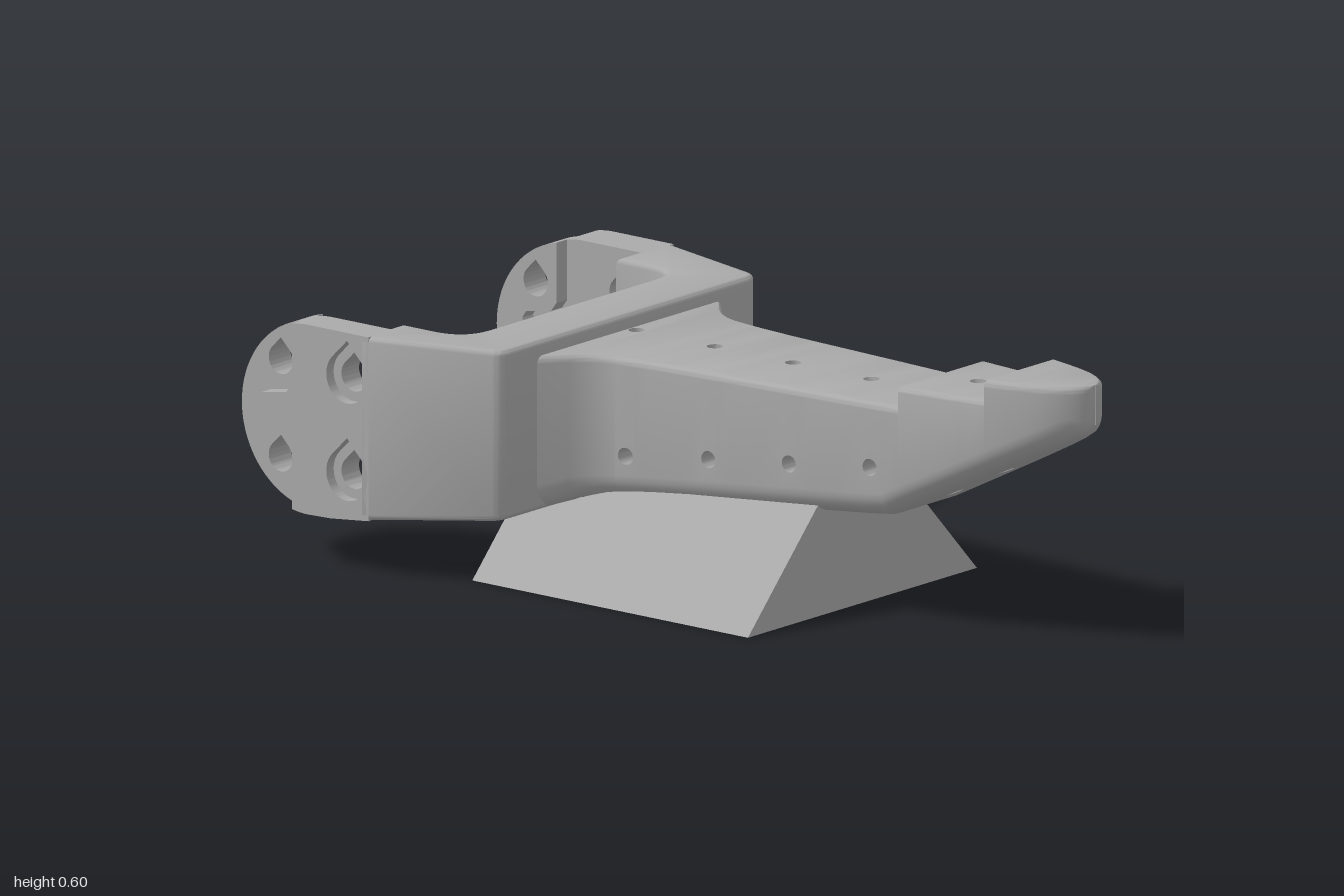
import * as THREE from 'three';
import { toCreasedNormals } from 'three/addons/utils/BufferGeometryUtils.js';

const grey = new THREE.MeshStandardMaterial({ color: 0xaaaaaa, side: THREE.DoubleSide });
grey.name = 'plain grey';

function part(name, geometry, crease = 0.6) {
  const mesh = new THREE.Mesh(toCreasedNormals(geometry, crease), grey);
  mesh.name = name;
  return mesh;
}

// Piecewise-linear lookup in [z, value] pairs sorted by descending z
function lookup(table, z) {
  let i = 0;
  while (i < table.length - 2 && z < table[i + 1][0]) i++;
  const [[z0, v0], [z1, v1]] = [table[i], table[i + 1]];
  return v0 + (v1 - v0) * (z - z0) / (z1 - z0);
}

// Tongue: half width and underside along z, and stepped top
const WIDTH = [[1, 0.001], [0.997, 0.02], [0.99, 0.034], [0.975, 0.053], [0.95, 0.072], [0.92, 0.088],
  [0.88, 0.102], [0.84, 0.113], [0.79, 0.125], [0.7, 0.138], [0.57, 0.152], [0.34, 0.168], [0, 0.19],
  [-0.1, 0.2], [-0.18, 0.212], [-0.21, 0.222], [-0.24, 0.239], [-0.265, 0.262], [-0.315, 0.32]];
const BOTTOM = [[1, 0.507], [0.985, 0.484], [0.95, 0.463], [0.525, 0.25], [0.465, 0.243], [-0.27, 0.178], [-0.32, 0.16]];
const topAt = z => z > 0.79 ? 0.597 : z > 0.57 ? 0.551 : 0.506;

// Small drillings: strip 0 = left side, 1 = top, 2 = right side, 3 = underside; at = [z, y or x]
const cross = [[0.495, 0.36], [0.28, 0.335], [0.065, 0.312], [-0.15, 0.288]]
  .map(at => ({ r: 0.019, ends: { 0: at, 2: at } }));
const upright = [[0.67, 0.75], [0.5, 0.605], [0.37, 0.49], [0.15], [-0.07], [-0.29]]
  .map(([t, b]) => ({ r: 0.018, ends: b === undefined ? { 1: [t, 0] } : { 1: [t, 0], 3: [b, 0] } }));

function tongueGeometry() {
  const pos = [], n = 6;
  const tri = (...p) => p.forEach(v => pos.push(v.x, v.y, v.z));
  const quad = (a, b, c, d) => { tri(a, b, c); tri(a, c, d); };

  // Rounded-rectangle cross-section
  const ring = (z, top) => {
    const w = lookup(WIDTH, z), bottom = lookup(BOTTOM, z);
    const rb = Math.min(0.055, w * 0.9), rt = Math.min(0.017, w * 0.9);
    const corners = [[w - rb, bottom + rb, rb], [w - rt, top - rt, rt], [rt - w, top - rt, rt], [rb - w, bottom + rb, rb]];
    return corners.flatMap(([x, y, r], k) => Array.from({ length: n + 1 }, (_, i) => {
      const a = (k - 1 + i / n) * Math.PI / 2;
      return new THREE.Vector3(x + r * Math.cos(a), y + r * Math.sin(a), z);
    }));
  };

  // Stations: profile points plus a short flat slab round every drilling
  const slabEdges = [0.525, 0.465];
  const holes = [...cross, ...upright];
  for (const h of holes) for (const [z] of Object.values(h.ends))
    if (z > 0.53 || z < 0.46) slabEdges.push(z + 0.025, z - 0.025);
  const stations = [...new Set([...WIDTH.map(p => p[0]), 0.985, ...slabEdges].map(z => +z.toFixed(3)))]
    .sort((a, b) => b - a);
  const rings = [];
  for (let i = 0; i + 1 < stations.length; i++) {
    const top = topAt((stations[i] + stations[i + 1]) / 2);
    rings.push(ring(stations[i], top), ring(stations[i + 1], top));
  }

  // Flat panel pierced by drillings
  const panel = (a, b, c, d, strip, list) => {
    const flat = p => new THREE.Vector2(-p.z, [p.y, -p.x, -p.y, p.x][strip]);
    const rims = list.map(h => {
      const [hz, hv] = h.ends[strip];
      const rim = Array.from({ length: 16 }, (_, i) => {
        const t = i / 16 * Math.PI * 2, z = hz + h.r * Math.cos(t), v = hv + h.r * Math.sin(t);
        const s = (z - a.z) / (b.z - a.z);
        return strip % 2 ? new THREE.Vector3(v, a.y + (b.y - a.y) * s, z)
          : new THREE.Vector3(a.x + (b.x - a.x) * s, v, z);
      });
      (h.rims ??= []).push(rim);
      const loop = rim.slice();
      return THREE.ShapeUtils.isClockWise(loop.map(flat)) ? loop : loop.reverse();
    });
    const all = [a, b, c, d, ...rims.flat()];
    THREE.ShapeUtils.triangulateShape([a, b, c, d].map(flat), rims.map(r => r.map(flat)))
      .forEach(f => tri(...f.map(i => all[i])));
  };

  for (const h of holes) h.rims = [];
  const count = 4 * (n + 1);
  for (let i = 0; i + 1 < rings.length; i++) {
    const A = rings[i], B = rings[i + 1];
    if (A[0].z === B[0].z && A[n + 1].y === B[n + 1].y) continue;
    for (let j = 0; j < count; j++) {
      const k = (j + 1) % count, strip = (j - n) / (n + 1);
      const list = Number.isInteger(strip) && A[0].z > B[0].z
        ? holes.filter(h => h.ends[strip] && h.ends[strip][0] < A[0].z && h.ends[strip][0] > B[0].z) : [];
      if (list.length) panel(A[j], B[j], B[k], A[k], strip, list);
      else quad(A[j], B[j], B[k], A[k]);
    }
  }
  // Bore walls
  for (const { rims: [p, q] } of holes) {
    const end = q || p.map(v => new THREE.Vector3(v.x, 0.25, v.z));
    p.forEach((v, i) => { const k = (i + 1) % p.length; quad(v, p[k], end[k], end[i]); });
  }
  return new THREE.BufferGeometry().setAttribute('position', new THREE.Float32BufferAttribute(pos, 3));
}

// Yoke: plan outline raised in y, underside sloping down to the rear
function yokeGeometry() {
  const s = new THREE.Shape();
  s.moveTo(-0.4, 0.31).lineTo(0.4, 0.31).quadraticCurveTo(0.435, 0.31, 0.444, 0.335);
  s.lineTo(0.52, 0.62).lineTo(0.52, 0.632).lineTo(0.345, 0.632).lineTo(0.345, 0.54);
  s.quadraticCurveTo(0.345, 0.46, 0.27, 0.46).lineTo(-0.3, 0.46).quadraticCurveTo(-0.38, 0.46, -0.38, 0.54);
  s.lineTo(-0.38, 0.632).lineTo(-0.52, 0.632).lineTo(-0.52, 0.62).lineTo(-0.444, 0.335);
  s.quadraticCurveTo(-0.435, 0.31, -0.4, 0.31);
  const g = new THREE.ExtrudeGeometry(s, {
    depth: 0.38, bevelThickness: 0.012, bevelSize: 0.012, bevelOffset: -0.012, bevelSegments: 3, curveSegments: 10,
  }).rotateX(-Math.PI / 2).translate(0, 0.148, 0);
  const p = g.attributes.position;
  for (let i = 0; i < p.count; i++)
    if (p.getY(i) < 0.3) p.setY(i, p.getY(i) + 0.024 - 0.103 * (-p.getZ(i) - 0.31));
  return g;
}

// Round ear split by a stepped seam; outlines are in (-z, y)
const SEAM = [[0.83, 0.12], [0.83, 0.245], [0.845, 0.27], [0.92, 0.338], [0.926, 0.352], [0.915, 0.368],
  [0.845, 0.38], [0.83, 0.4], [0.83, 0.535]];
const SPLIT = Math.acos(0.045 / 0.2125);

function teardrop(u, y, r) {
  const h = new THREE.Path();
  h.absarc(u, y, r, Math.PI * 0.75, Math.PI * 2.25, false);
  h.lineTo(u, y + r * Math.SQRT2);
  h.closePath();
  return h;
}

function earFront(holeRadius) {
  const s = new THREE.Shape();
  s.moveTo(0.615, 0.128).lineTo(0.72, 0.117).lineTo(0.785, 0.115);
  s.absarc(0.785, 0.3275, 0.2125, -Math.PI / 2, -SPLIT, false);
  SEAM.slice(1, -1).forEach(([u, y]) => s.lineTo(u, y));
  s.absarc(0.785, 0.3275, 0.2125, SPLIT, Math.PI / 2, false);
  s.lineTo(0.615, 0.54);
  for (const y of [0.44, 0.222]) s.holes.push(teardrop(0.675, y, holeRadius));
  return s;
}

function earRear() {
  const s = new THREE.Shape();
  s.absarc(0.785, 0.3275, 0.2125, -SPLIT, SPLIT, false);
  SEAM.slice(1, -1).reverse().forEach(([u, y]) => s.lineTo(u, y));
  for (const y of [0.44, 0.222]) s.holes.push(teardrop(0.888, y, 0.034));
  return s;
}

// Extrude a side outline between two x positions
const slab = (shape, x0, x1) => new THREE.ExtrudeGeometry(shape, { depth: x1 - x0, bevelEnabled: false, curveSegments: 28 })
  .rotateY(Math.PI / 2).translate(x0, 0, 0);

function ear(name, front, counterbore, rear) {
  const group = new THREE.Group();
  group.name = name;
  group.add(part('earFrontPlate', slab(earFront(0.036), ...front)),
    part('earCounterboredFace', slab(earFront(0.058), ...counterbore)),
    part('earRearTab', slab(earRear(), ...rear)));
  return group;
}

export function createModel() {
  const model = new THREE.Group();
  model.name = 'forkedBracket';

  // Trapezoid foot
  const foot = new THREE.Shape([[-0.39, 0], [0.39, 0], [0.152, 0.248], [-0.152, 0.248]].map(p => new THREE.Vector2(...p)));
  model.add(part('foot', new THREE.ExtrudeGeometry(foot, { depth: 0.775, bevelEnabled: false }).translate(0, 0, -0.43)));

  model.add(part('tongue', tongueGeometry()), part('yoke', yokeGeometry()));

  // The two ears are offset so that their tabs interleave
  model.add(ear('leftEar', [0.418, 0.495], [0.495, 0.52], [0.381, 0.455]),
    ear('rightEar', [-0.495, -0.435], [-0.52, -0.495], [-0.487, -0.413]));
  return model;
}
